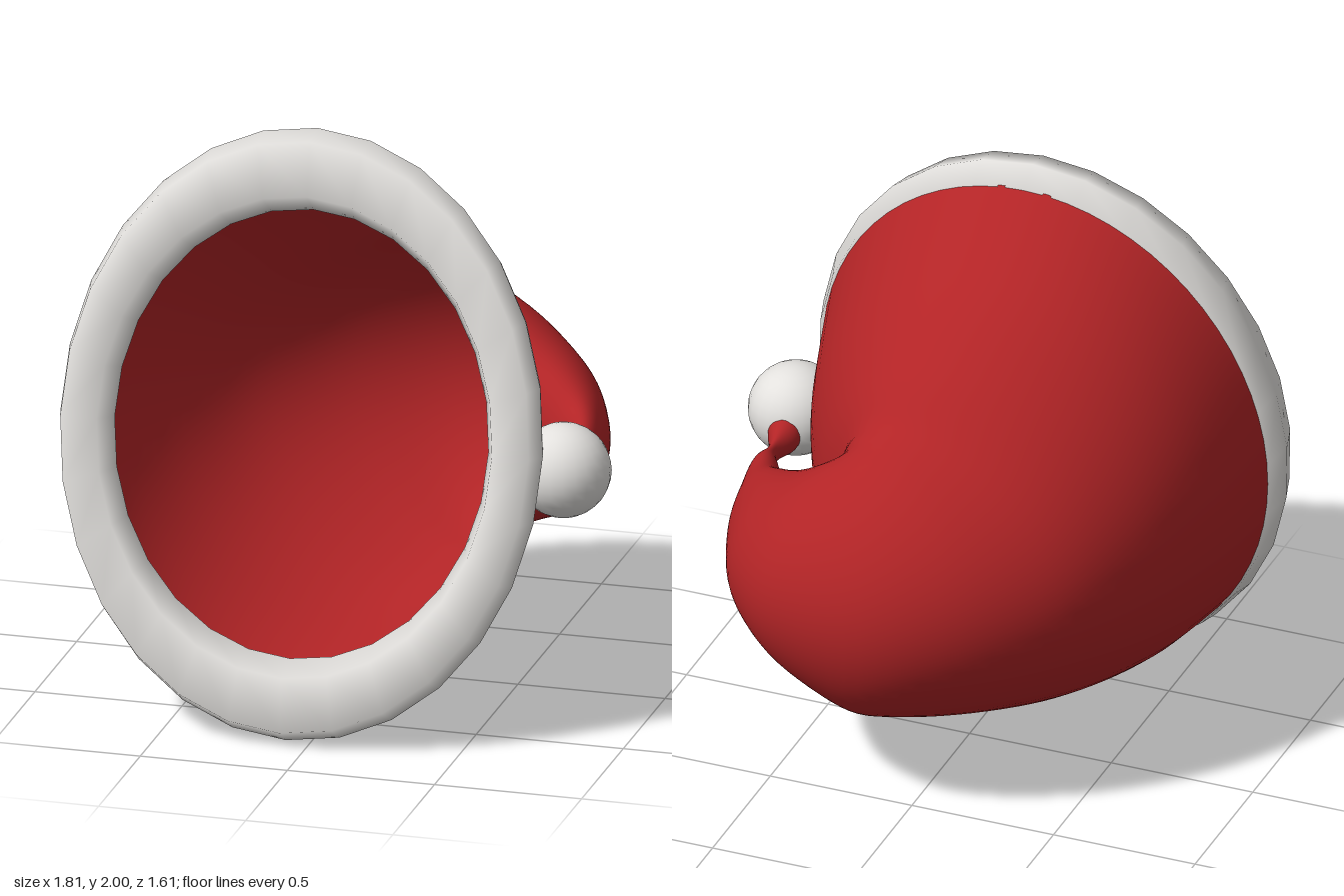
import * as THREE from 'three';

const red = new THREE.MeshStandardMaterial({ color: 0xb22426, side: THREE.DoubleSide });
red.name = 'red felt';
const white = new THREE.MeshStandardMaterial({ color: 0xe3e1de });
white.name = 'white fur';

// Skin a list of closed rings (arrays of Vector3); optionally join last to first
function loft(rings, closed) {
  const n = rings[0].length, m = rings.length, index = [];
  for (let i = 0; i < (closed ? m : m - 1); i++) {
    for (let j = 0; j < n; j++) {
      const a = i * n + j, b = ((i + 1) % m) * n + j;
      const c = i * n + (j + 1) % n, d = ((i + 1) % m) * n + (j + 1) % n;
      index.push(a, b, c, c, b, d);
    }
  }
  const g = new THREE.BufferGeometry().setFromPoints(rings.flat());
  g.setIndex(index);
  g.computeVertexNormals();
  return g;
}

// Catmull-Rom interpolation of a row of numbers
function sampleRow(rows, t) {
  const i = Math.min(Math.floor(t), rows.length - 2), f = t - i;
  const at = k => rows[Math.max(0, Math.min(rows.length - 1, k))];
  return rows[i].map((p1, k) => {
    const p0 = at(i - 1)[k], p2 = at(i + 1)[k], p3 = at(i + 2)[k];
    return p1 + 0.5 * f * (p2 - p0 + f * (2 * p0 - 5 * p1 + 4 * p2 - p3 + f * (3 * (p1 - p2) + p3 - p0)));
  });
}

// Cap stations: outer x,z | inner x,z | centre y, half height | lean in z | bias to the folded side
const STATIONS = [
  [-0.87, 0.45, 0.70, 0.45, 0.985, 0.96, -0.185, 0],
  [-0.805, 0.13, 0.60, 0.10, 0.92, 0.825, -0.16, 0],
  [-0.69, -0.18, 0.48, -0.13, 0.85, 0.69, -0.12, 0.12],
  [-0.515, -0.47, 0.37, -0.26, 0.81, 0.575, -0.07, 0.3],
  [-0.25, -0.70, 0.33, -0.33, 0.80, 0.51, -0.03, 0.4],
  [0.06, -0.805, 0.325, -0.33, 0.785, 0.46, 0, 0.4],
  [0.40, -0.745, 0.36, -0.29, 0.775, 0.385, 0, 0.4],
  [0.61, -0.57, 0.43, -0.215, 0.765, 0.305, 0, 0.3],
  [0.715, -0.35, 0.515, -0.145, 0.765, 0.235, 0, 0.15],
  [0.75, -0.17, 0.605, -0.085, 0.79, 0.155, 0, 0],
  [0.765, -0.03, 0.67, 0, 0.83, 0.09, 0, 0],
  [0.75, 0.09, 0.715, 0.09, 0.85, 0.04, 0, 0],
  [0.79, 0.19, 0.68, 0.19, 0.865, 0.065, 0, 0],
  [0.80, 0.26, 0.69, 0.26, 0.88, 0.065, 0, 0],
];

function capGeometry() {
  const rings = [], steps = (STATIONS.length - 1) * 6, sides = 64;
  for (let i = 0; i <= steps; i++) {
    const [ox, oz, ix, iz, y, h, lean, bias] = sampleRow(STATIONS, i / 6);
    const ring = [];
    for (let j = 0; j < sides; j++) {
      const a = -j / sides * Math.PI * 2, s = Math.sin(a);
      const c = Math.cos(a) - bias * s * s; // flatter on the folded side
      ring.push(new THREE.Vector3(
        (ox + ix) / 2 + c * (ox - ix) / 2,
        y + s * h,
        (oz + iz) / 2 + c * (oz - iz) / 2 + s * lean));
    }
    rings.push(ring);
  }
  return loft(rings, false);
}

// Oval fur band: section points are (inset from outer to inner oval, depth)
function bandGeometry() {
  const section = [[0, 0], [0.13, 0.088], [0.8, 0.09], [1, 0], [0.8, -0.09], [0.13, -0.088]];
  const rings = [], sides = 28;
  for (let i = 0; i < sides; i++) {
    const a = i / sides * Math.PI * 2;
    rings.push(section.map(([k, w]) => new THREE.Vector3(
      Math.cos(a) * (0.82 - 0.185 * k),
      Math.sin(a) * (1.016 - 0.271 * k),
      w)));
  }
  return loft(rings, true);
}

export function createModel() {
  const hat = new THREE.Group();
  hat.name = 'hat';

  const cap = new THREE.Mesh(capGeometry(), red);
  cap.name = 'foldedCap';

  const band = new THREE.Mesh(bandGeometry(), white);
  band.name = 'furBand';
  band.position.set(-0.085, 1.0, 0.53);
  band.rotation.x = -0.19;

  const pompom = new THREE.Mesh(new THREE.SphereGeometry(0.158, 24, 16), white);
  pompom.name = 'pompom';
  pompom.position.set(0.75, 0.89, 0.335);

  hat.add(cap, band, pompom);
  return hat;
}
